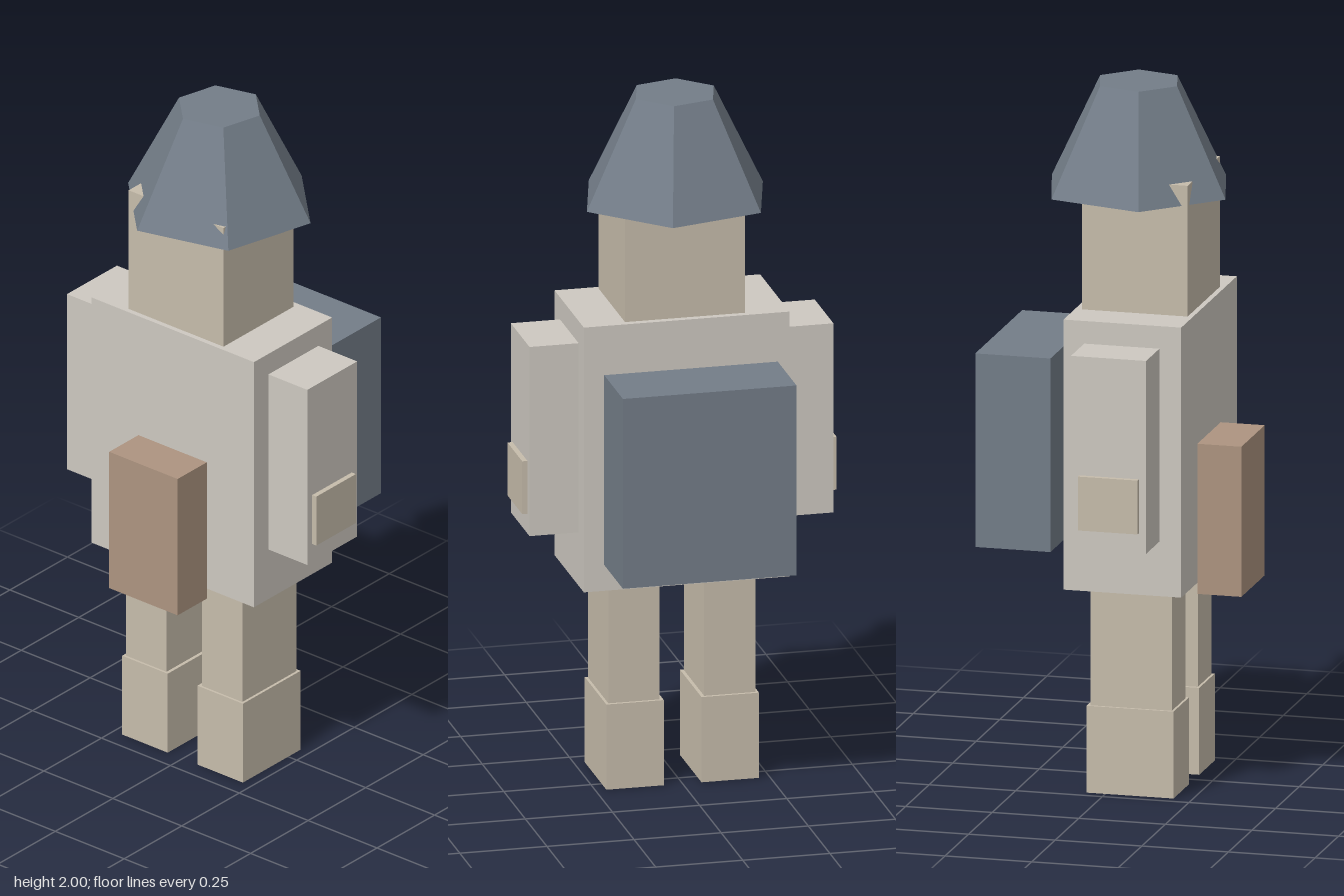
import * as THREE from 'three';

const material = (color) => new THREE.MeshStandardMaterial({ color, flatShading: true });

export function createModel() {
  const model = new THREE.Group();
  model.name = 'figure';

  const cloth = material(0xcdc8c0);
  const skin = material(0xc6bcab);
  const slate = material(0x737d88);
  const leather = material(0xad9480);

  // Box given by its [min, max] range on each axis
  function box(name, mat, [x0, x1], [y0, y1], [z0, z1]) {
    const mesh = new THREE.Mesh(new THREE.BoxGeometry(x1 - x0, y1 - y0, z1 - z0), mat);
    mesh.name = name;
    mesh.position.set((x0 + x1) / 2, (y0 + y1) / 2, (z0 + z1) / 2);
    model.add(mesh);
  }

  // Same box on the left (+x) and mirrored on the right (-x)
  function pair(name, mat, [x0, x1], y, z) {
    box('left' + name, mat, [x0, x1], y, z);
    box('right' + name, mat, [-x1, -x0], y, z);
  }

  // Torso and head
  box('torso', cloth, [-0.295, 0.295], [0.6, 1.377], [-0.1, 0.24]);
  box('head', skin, [-0.172, 0.172], [1.377, 1.753], [-0.08, 0.225]);

  // Limbs
  pair('Arm', cloth, [0.295, 0.436], [0.757, 1.312], [-0.04, 0.177]);
  pair('Hand', skin, [0.297, 0.451], [0.815, 0.97], [-0.016, 0.156]);
  pair('Leg', skin, [0.064, 0.211], [0.25, 0.6], [-0.045, 0.19]);
  pair('Foot', skin, [0.054, 0.219], [0, 0.25], [-0.054, 0.197]);

  // Front pouch, and a backpack standing clear of the back
  box('pouch', leather, [-0.124, 0.124], [0.568, 1.0], [0.24, 0.367]);
  box('backpack', slate, [-0.249, 0.249], [0.693, 1.25], [-0.367, -0.15]);

  // Six-sided hat, turned a little; the head's front corners poke through
  const hat = new THREE.Mesh(new THREE.CylinderGeometry(0.124, 0.28, 0.306, 6), slate);
  hat.name = 'hat';
  hat.position.set(0, 1.847, 0.037);
  hat.rotation.y = -Math.PI / 12;
  model.add(hat);

  return model;
}
